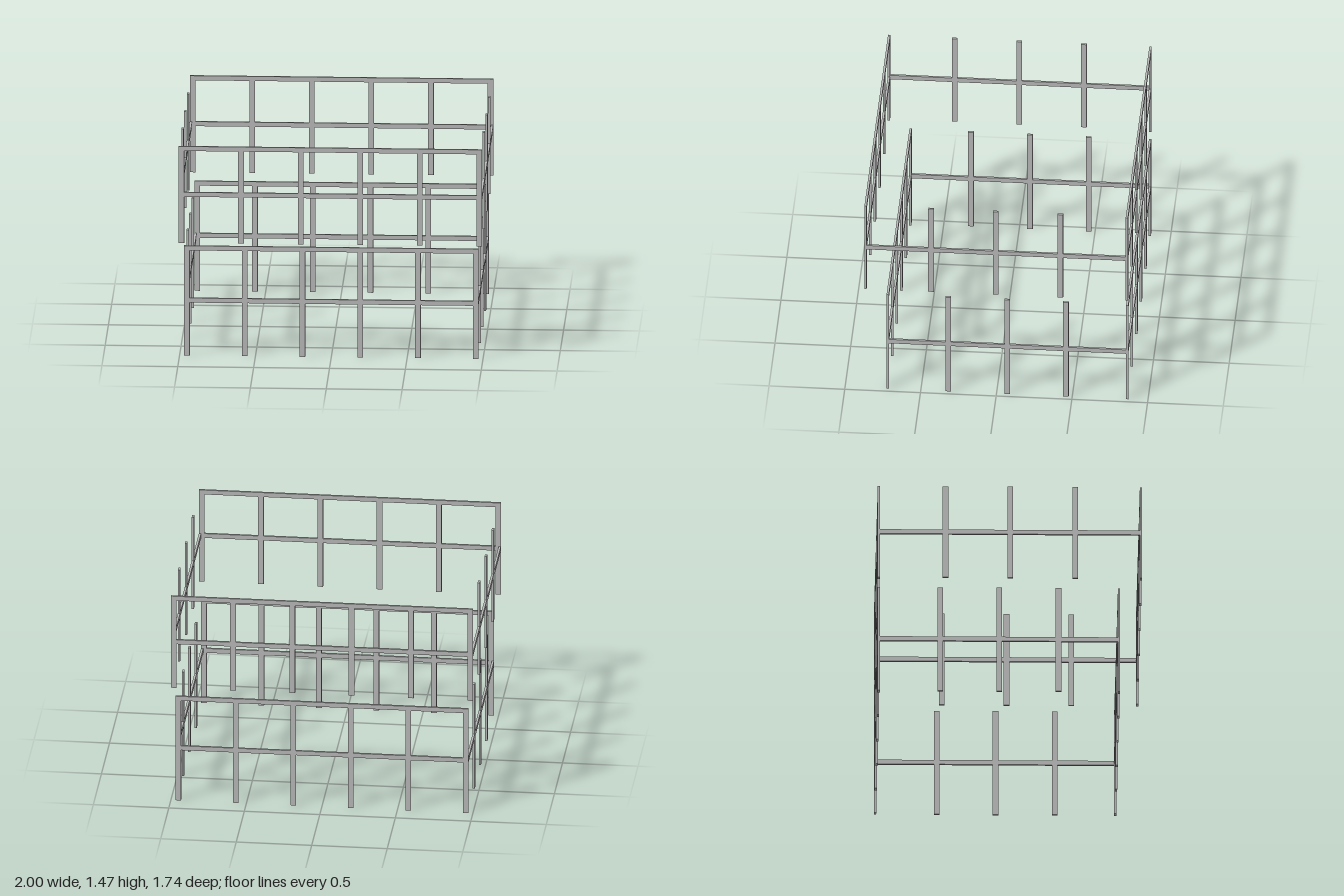
import * as THREE from 'three';

const BAR = 0.037;   // visible width of a post
const RAIL = 0.031;  // visible height of a rail
const THIN = 0.015;  // thickness of every bar

export function createModel() {
  const steel = new THREE.MeshStandardMaterial({ color: 0xb8b8b8 });
  steel.name = 'grey steel';

  // Box given by its low and high corners
  function bar(parent, name, [x0, y0, z0], [x1, y1, z1]) {
    const mesh = new THREE.Mesh(new THREE.BoxGeometry(x1 - x0, y1 - y0, z1 - z0), steel);
    mesh.position.set((x0 + x1) / 2, (y0 + y1) / 2, (z0 + z1) / 2);
    mesh.name = name;
    parent.add(mesh);
  }

  // Long panel: six posts, a top rail and a middle rail
  function longPanel(name, t, z) {
    const g = new THREE.Group();
    g.name = name;
    const z0 = z - THIN / 2, z1 = z + THIN / 2;
    for (let i = 0; i < 6; i++) {
      const x = (t.halfWidth - BAR / 2) * (-1 + 0.4 * i);
      bar(g, 'post', [x - BAR / 2, t.bottom, z0], [x + BAR / 2, t.top, z1]);
    }
    for (const [part, y] of [['topRail', t.top - RAIL], ['middleRail', t.rail - RAIL / 2]])
      bar(g, part, [-t.halfWidth, y, z0], [t.halfWidth, y + RAIL, z1]);
    return g;
  }

  // Side panel: three free-standing posts on one middle rail
  function sidePanel(name, t, side) {
    const g = new THREE.Group();
    g.name = name;
    const x = side * (t.halfWidth - THIN / 2);
    const x0 = x - THIN / 2, x1 = x + THIN / 2;
    for (const z of t.sidePosts)
      bar(g, 'post', [x0, t.bottom, z - BAR / 2], [x1, t.top, z + BAR / 2]);
    bar(g, 'middleRail', [x0, t.rail - RAIL / 2, t.back + THIN / 2],
      [x1, t.rail + RAIL / 2, t.front - THIN / 2]);
    return g;
  }

  const tiers = [
    { name: 'lowerRailing', bottom: 0, top: 0.75, rail: 0.378, halfWidth: 0.97,
      front: 0.719, back: -0.863, sidePosts: [0.32, -0.07, -0.458] },
    { name: 'upperRailing', bottom: 0.81, top: 1.47, rail: 1.141, halfWidth: 1,
      front: 0.863, back: -0.863, sidePosts: [0.43, 0.003, -0.424] },
  ];

  const model = new THREE.Group();
  model.name = 'twoTierRailing';
  for (const t of tiers) {
    const tier = new THREE.Group();
    tier.name = t.name;
    tier.add(longPanel('frontPanel', t, t.front), longPanel('backPanel', t, t.back),
      sidePanel('leftPanel', t, 1), sidePanel('rightPanel', t, -1));
    model.add(tier);
  }
  return model;
}
